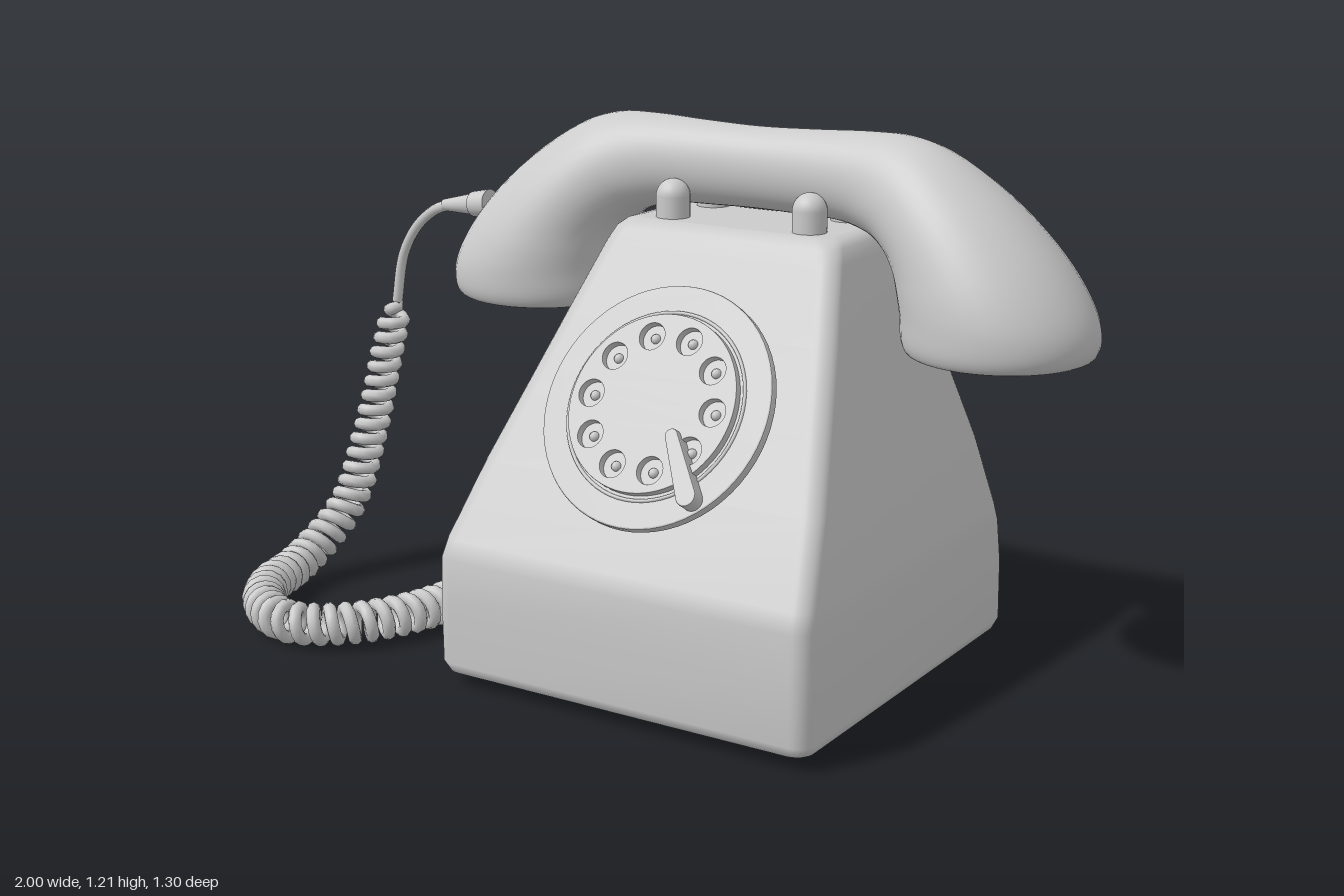
import * as THREE from 'three';

const V = (x, y, z) => new THREE.Vector3(x, y, z);
const material = new THREE.MeshStandardMaterial({ color: 0xcccccc, roughness: 0.6 });

function add(parent, name, geometry, x = 0, y = 0, z = 0) {
  const mesh = new THREE.Mesh(geometry, material);
  mesh.name = name;
  mesh.position.set(x, y, z);
  parent.add(mesh);
  return mesh;
}

// Skin over closed rings of points, with flat caps at both ends
function loft(rings) {
  const n = rings[0].length, last = rings.length - 1;
  const pos = [], index = [];
  rings.forEach(ring => ring.forEach(p => pos.push(p.x, p.y, p.z)));
  for (let i = 0; i < last; i++) {
    for (let j = 0; j < n; j++) {
      const a = i * n + j, b = i * n + (j + 1) % n;
      index.push(a, a + n, b, b, a + n, b + n);
    }
  }
  for (const [ring, flip] of [[rings[0], false], [rings[last], true]]) {
    const base = pos.length / 3;
    const mid = ring.reduce((s, p) => s.add(p), V(0, 0, 0)).divideScalar(n);
    [...ring, mid].forEach(p => pos.push(p.x, p.y, p.z));
    for (let j = 0; j < n; j++) {
      const a = base + j, b = base + (j + 1) % n;
      index.push(base + n, flip ? b : a, flip ? a : b);
    }
  }
  const g = new THREE.BufferGeometry();
  g.setAttribute('position', new THREE.Float32BufferAttribute(pos, 3));
  g.setIndex(index);
  g.computeVertexNormals();
  return g;
}

// Rounded rectangle at height y
function roundedRing(y, hw, front, back, r = 0.04) {
  const points = [], cz = (front + back) / 2, hd = (front - back) / 2;
  [[1, 1], [-1, 1], [-1, -1], [1, -1]].forEach(([sx, sz], q) => {
    for (let k = 0; k <= 6; k++) {
      const t = (q + k / 6) * Math.PI / 2;
      points.push(V(0.2 + sx * (hw - r) + r * Math.cos(t), y, cz + sz * (hd - r) + r * Math.sin(t)));
    }
  });
  return points;
}

function makeBody(parent) {
  // height, half width, front z, back z
  const sections = [
    [0.03, 0.435, 0.56, -0.315], [0.037, 0.455, 0.58, -0.335], [0.06, 0.465, 0.59, -0.345],
    [0.2, 0.465, 0.592, -0.342], [0.3, 0.461, 0.592, -0.331], [0.34, 0.455, 0.576, -0.322],
    [0.5, 0.42, 0.476, -0.284], [0.64, 0.381, 0.387, -0.243], [0.8, 0.337, 0.285, -0.194],
    [0.95, 0.293, 0.192, -0.147], [0.982, 0.28, 0.17, -0.133], [0.996, 0.265, 0.152, -0.116],
    [1.0, 0.245, 0.132, -0.096],
  ];
  add(parent, 'body', loft(sections.map(s => roundedRing(...s))));
}

function makeHandset(parent) {
  // outer x, outer y, inner x, inner y, half depth: from one cup to the middle of the grip
  const half = [
    [0.755, 0.765, 0.41, 0.765, 0.175], [0.785, 0.774, 0.388, 0.772, 0.193],
    [0.796, 0.8, 0.378, 0.795, 0.203], [0.791, 0.845, 0.374, 0.85, 0.206],
    [0.757, 0.915, 0.366, 0.892, 0.2], [0.69, 1.002, 0.356, 0.928, 0.184],
    [0.58, 1.103, 0.335, 0.963, 0.158], [0.45, 1.185, 0.3, 0.99, 0.125],
    [0.365, 1.21, 0.25, 1.008, 0.1], [0.28, 1.213, 0.2, 1.017, 0.085],
    [0.14, 1.207, 0.11, 1.02, 0.074], [0, 1.203, 0, 1.022, 0.07],
  ];
  const mirrored = half.slice(0, -1).reverse().map(([a, b, c, d, e]) => [-a, b, -c, d, e]);
  const sections = [...half, ...mirrored];
  const outer = new THREE.CatmullRomCurve3(sections.map(s => V(s[0], s[1], s[4])));
  const inner = new THREE.CatmullRomCurve3(sections.map(s => V(s[2], s[3], s[4])));
  const rings = [];
  for (let i = 0; i <= 88; i++) {
    const o = outer.getPoint(i / 88), n = inner.getPoint(i / 88);
    const cx = (o.x + n.x) / 2, cy = (o.y + n.y) / 2, ring = [];
    for (let j = 0; j < 40; j++) {
      const t = j / 40 * Math.PI * 2, c = Math.cos(t);
      ring.push(V(cx + c * (o.x - cx), cy + c * (o.y - cy), o.z * Math.sin(t)));
    }
    rings.push(ring);
  }
  add(parent, 'handset', loft(rings), 0.2);

  // Cradle pegs on both sides of the grip
  for (const x of [0.03, 0.375]) {
    for (const z of [0.085, -0.085]) {
      add(parent, 'cradlePeg', new THREE.CapsuleGeometry(0.038, 0.09, 8, 20), x, 1.002, z);
    }
  }
}

function disc(radius, depth, bevel, holes = []) {
  const shape = new THREE.Shape().absarc(0, 0, radius - bevel, 0, Math.PI * 2);
  shape.holes = holes;
  return new THREE.ExtrudeGeometry(shape, {
    depth: depth - 2 * bevel, bevelThickness: bevel, bevelSize: bevel, bevelSegments: 2, curveSegments: 32,
  }).translate(0, 0, bevel);
}

function makeDial(parent) {
  const dial = new THREE.Group();
  dial.name = 'dial';
  dial.position.set(0.2, 0.645, 0.384);
  dial.rotation.x = -0.565;
  parent.add(dial);

  add(dial, 'dialHub', disc(0.12, 0.035, 0.002), 0, 0, -0.01);
  add(dial, 'dialPlate', disc(0.27, 0.024, 0.004), 0, 0, 0.02);
  add(dial, 'dialRing', new THREE.TorusGeometry(0.208, 0.004, 8, 64), 0, 0, 0.044);

  // Ten finger holes, each with a small stud at the bottom
  const holes = [];
  for (let i = 0; i < 10; i++) {
    const a = i * Math.PI / 5, x = 0.15 * Math.cos(a), y = 0.15 * Math.sin(a);
    holes.push(new THREE.Path().absarc(x, y, 0.032, 0, Math.PI * 2, true));
    add(dial, 'holeStud', new THREE.SphereGeometry(0.011, 12, 8), x, y, 0.044);
  }
  add(dial, 'fingerWheel', disc(0.198, 0.02, 0.002, holes), 0, 0, 0.043);

  // Tapered finger stop
  const stop = new THREE.Shape();
  stop.absarc(0, 0.065, 0.012, 0, Math.PI);
  stop.absarc(0, -0.075, 0.02, Math.PI, Math.PI * 2);
  const stopMesh = add(dial, 'fingerStop', new THREE.ExtrudeGeometry(stop, {
    depth: 0.032, bevelThickness: 0.003, bevelSize: 0.003, bevelSegments: 2,
  }), 0.115, -0.12, 0.044);
  stopMesh.rotation.z = 0.56;
}

function tube(points, radius, segments) {
  const curve = new THREE.CatmullRomCurve3(points);
  curve.arcLengthDivisions = segments * 2;
  return new THREE.TubeGeometry(curve, segments, radius, 8);
}

function makeCord(parent) {
  // Stepped strain relief leaving the handset
  const relief = new THREE.Group();
  relief.name = 'strainRelief';
  relief.position.set(-0.54, 0.962, 0);
  relief.rotation.z = Math.PI / 2 + 0.12;
  parent.add(relief);
  [[0.034, 0.03, 0.05], [0.026, 0.022, 0.03], [0.022, 0.018, 0.03], [0.018, 0.014, 0.03]].reduce((y, [r0, r1, h]) => {
    add(relief, 'reliefStep', new THREE.CylinderGeometry(r1, r0, h, 20), 0, y + h / 2, 0);
    return y + h;
  }, 0);

  add(parent, 'handsetWire', tube([
    V(-0.66, 0.948, 0), V(-0.71, 0.93, 0), V(-0.765, 0.885, 0), V(-0.81, 0.81, 0), V(-0.835, 0.69, 0),
  ], 0.013, 32));

  // Centre line of the coiled length
  const path = new THREE.CatmullRomCurve3([
    V(-0.835, 0.69, 0), V(-0.865, 0.52, 0.025), V(-0.89, 0.35, 0.06), V(-0.92, 0.18, 0.12),
    V(-0.95, 0.07, 0.26), V(-0.906, 0.06, 0.43), V(-0.81, 0.06, 0.54), V(-0.7, 0.06, 0.583),
    V(-0.596, 0.06, 0.535), V(-0.515, 0.06, 0.42), V(-0.48, 0.057, 0.25), V(-0.47, 0.057, 0),
    V(-0.46, 0.057, -0.19), V(-0.425, 0.057, -0.35), V(-0.345, 0.06, -0.51), V(-0.24, 0.07, -0.585),
    V(-0.1, 0.1, -0.612), V(-0.05, 0.115, -0.606),
  ]);
  const turns = 72, N = turns * 14;
  path.arcLengthDivisions = 600;
  const frames = path.computeFrenetFrames(N, false);
  const coil = [];
  for (let i = 0; i <= N; i++) {
    const t = i / N, a = t * turns * Math.PI * 2;
    const ends = Math.min(1, t * 60, (1 - t) * 60);
    const r = ends * (0.026 + 0.01 * Math.min(1, t * 4));
    coil.push(path.getPointAt(t)
      .addScaledVector(frames.normals[i], r * Math.cos(a))
      .addScaledVector(frames.binormals[i], r * Math.sin(a)));
  }
  add(parent, 'coiledCord', tube(coil, 0.0155, N));

  add(parent, 'bodyWire', tube([
    V(-0.05, 0.115, -0.606), V(0.03, 0.14, -0.575), V(0.11, 0.17, -0.51), V(0.165, 0.182, -0.43), V(0.205, 0.185, -0.33),
  ], 0.014, 32));
}

export function createModel() {
  const model = new THREE.Group();
  model.name = 'telephone';
  makeBody(model);
  makeHandset(model);
  makeDial(model);
  makeCord(model);
  return model;
}
